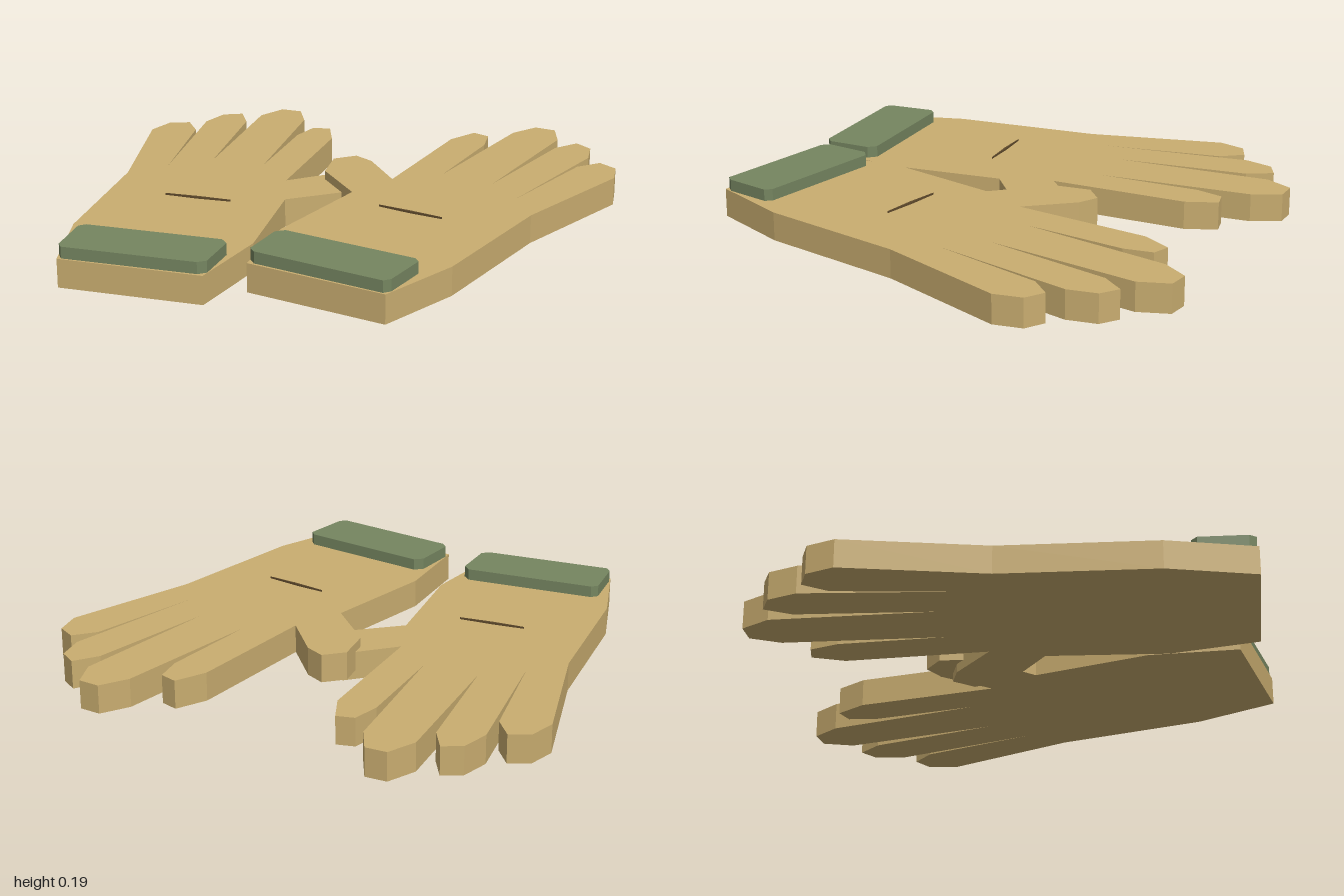
import * as THREE from 'three';

const fabric = new THREE.MeshStandardMaterial({ color: 0xc9ad70 });
fabric.name = 'tanFabric';
const band = new THREE.MeshStandardMaterial({ color: 0x758560 });
band.name = 'greenBand';
const seam = new THREE.MeshStandardMaterial({ color: 0x5f4a2c });
seam.name = 'brownSeam';

// Outlines of one glove lying flat, as [x, z]
const HAND = [
  [0.06, 0.84], [0.605, 0.905], [0.725, 0.585], [0.82, 0],
  [0.99, -0.52], [0.965, -0.63], [0.89, -0.67], [0.82, -0.59], [0.71, -0.13], // little finger
  [0.83, -0.71], [0.805, -0.825], [0.735, -0.868], [0.672, -0.777], [0.577, -0.265], // ring finger
  [0.65, -0.88], [0.602, -0.995], [0.517, -1], [0.453, -0.895], [0.363, -0.29], // middle finger
  [0.395, -0.697], [0.373, -0.81], [0.304, -0.83], [0.245, -0.713], [0.203, -0.164], // index finger
  [0.048, -0.33], [-0.032, -0.366], [-0.101, -0.297], [-0.075, -0.148], [0.117, 0.033], // thumb
  [0.032, 0.492],
];
const CUFF = [
  [0.07, 0.631], [0.101, 0.604], [0.619, 0.668], [0.64, 0.692],
  [0.613, 0.872], [0.592, 0.896], [0.085, 0.833], [0.059, 0.807],
];
const CREASE = [[0.283, 0.168], [0.41, 0.179], [0.544, 0.199], [0.415, 0.189]];

// Extrudes an [x, z] outline upwards from y0 to y1
function slab(name, outline, side, y0, y1, material) {
  const shape = new THREE.Shape(outline.map(([x, z]) => new THREE.Vector2(x * side, -z)));
  const geometry = new THREE.ExtrudeGeometry(shape, { depth: y1 - y0, bevelEnabled: false });
  geometry.rotateX(-Math.PI / 2).translate(0, y0, 0);
  const mesh = new THREE.Mesh(geometry, material);
  mesh.name = name;
  return mesh;
}

function glove(name, side) {
  const group = new THREE.Group();
  group.name = name;
  group.add(
    slab('hand', HAND, side, 0, 0.11, fabric),
    slab('cuff', CUFF, side, 0.01, 0.155, band),
    slab('backCrease', CREASE, side, 0.122, 0.13, seam),
  );
  return group;
}

export function createModel() {
  const model = new THREE.Group();
  model.name = 'gloves';
  // The left glove rests slightly higher, its thumb over the other
  const left = glove('leftGlove', 1);
  left.position.y = 0.035;
  const right = glove('rightGlove', -1);
  right.position.set(-0.006, 0, 0.09);
  model.add(left, right);
  return model;
}
